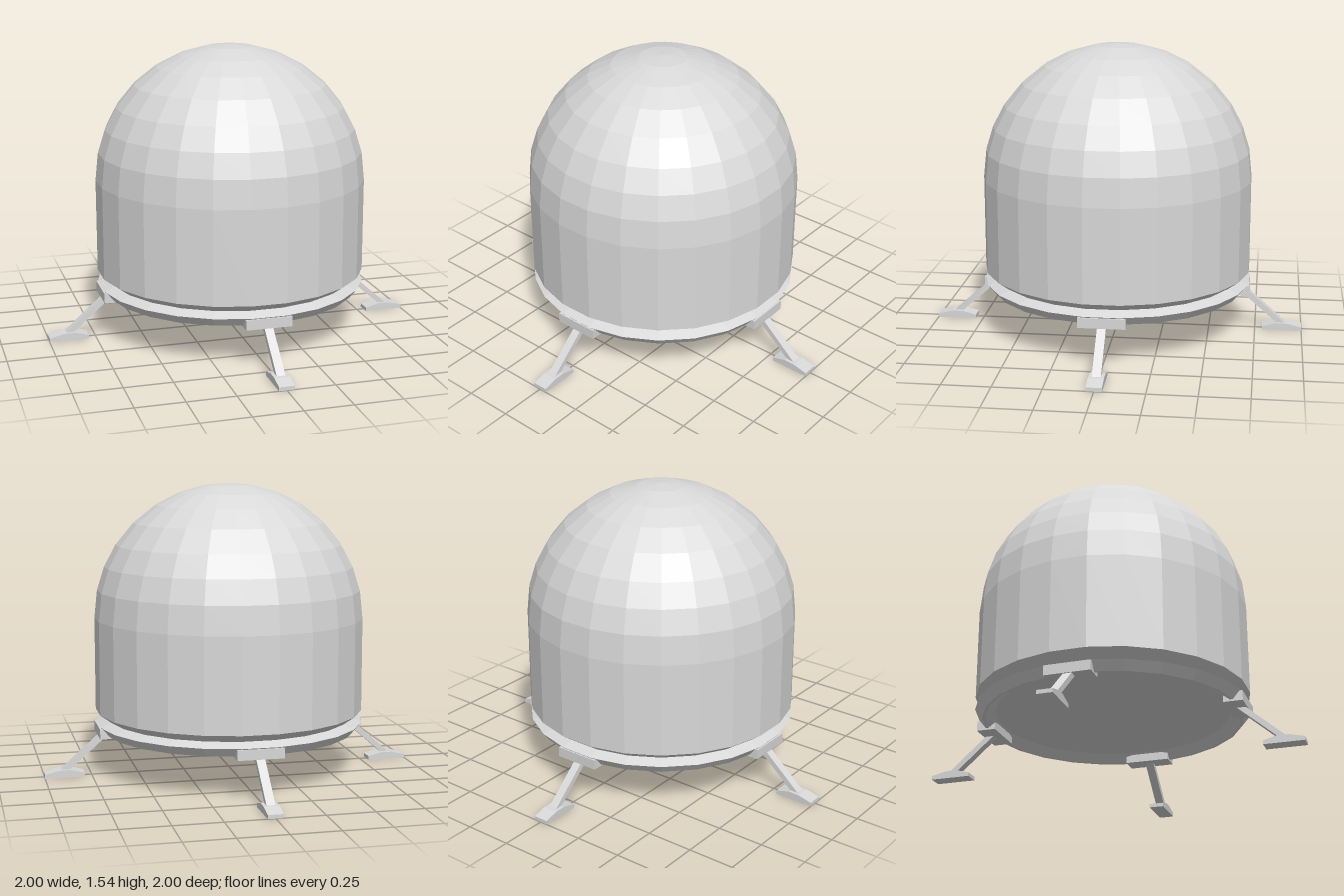
import * as THREE from 'three';

const SIDES = 24;

export function createModel() {
  const model = new THREE.Group();
  const grey = new THREE.MeshStandardMaterial({ color: 0xd8d8d8 });
  grey.name = 'light grey';

  const add = (parent, name, geometry) => {
    const flat = geometry.index ? geometry.toNonIndexed() : geometry;
    flat.computeVertexNormals();
    const mesh = new THREE.Mesh(flat, grey);
    mesh.name = name;
    parent.add(mesh);
  };
  // Faceted turned part; a flat facet faces each leg
  const lathe = (name, points) => add(model, name, new THREE.LatheGeometry(
    points.map(([r, y]) => new THREE.Vector2(r, y)), SIDES, Math.PI / SIDES));

  // Domed capsule: chamfered foot, straight wall, hemispherical roof
  const R = 0.717, springY = 0.83;
  const dome = [0, 12, 22.5, 33, 45, 57, 68, 80].map((deg) => {
    const a = THREE.MathUtils.degToRad(deg);
    return [R * Math.cos(a), springY + (1.54 - springY) * Math.sin(a)];
  });
  lathe('domeBody', [[0.66, 0.295], [R, 0.337], ...dome, [0, 1.54]]);

  // Base ring with a bevelled inner lip and a recessed floor
  lathe('baseRing', [[0, 0.265], [0.612, 0.265], [0.665, 0.225], [0.68, 0.225], [R, 0.272], [0.66, 0.295]]);

  // Extrudes a (radius, height) outline to a width centred on the leg
  const profile = (points, width) => {
    const shape = new THREE.Shape(points.map(([r, y]) => new THREE.Vector2(r, y)));
    return new THREE.ExtrudeGeometry(shape, { depth: width, bevelEnabled: false })
      .translate(0, 0, -width / 2);
  };

  // Four landing legs
  for (let i = 0; i < 4; i++) {
    const leg = new THREE.Group();
    leg.name = 'landingLeg' + (i + 1);
    leg.rotation.y = i * Math.PI / 2;
    add(leg, 'mountingPlate', profile([[0.615, 0.215], [0.716, 0.215], [0.716, 0.267], [0.615, 0.267]], 0.24));
    add(leg, 'strut', profile([[0.66, 0.218], [0.875, 0.03], [0.912, 0.035], [0.705, 0.218]], 0.045));
    add(leg, 'footPad', profile([[0.79, 0], [1, 0], [1, 0.02], [0.925, 0.038], [0.865, 0.04], [0.79, 0.02]], 0.08));
    model.add(leg);
  }
  return model;
}
